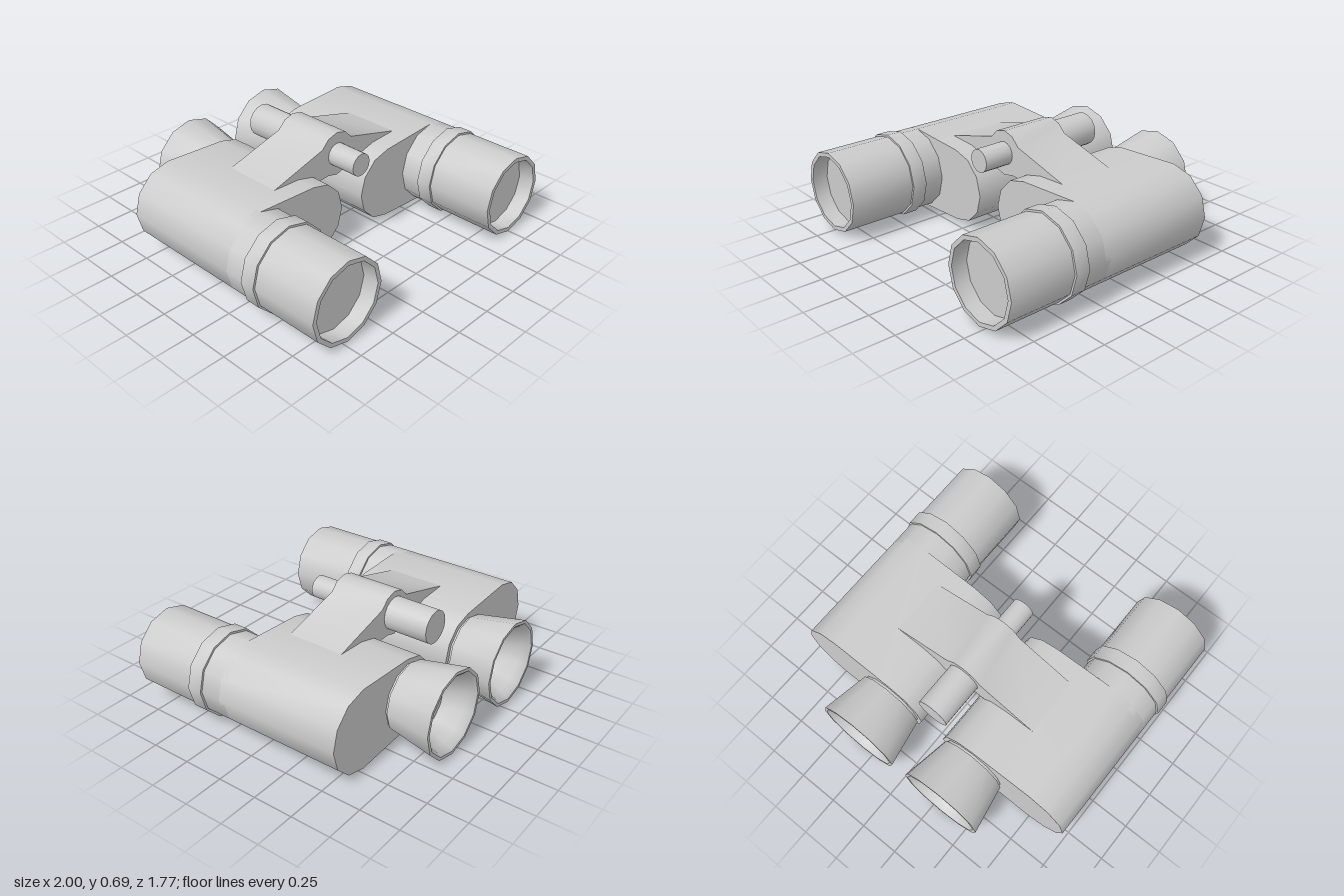
import * as THREE from 'three';
import { toCreasedNormals } from 'three/addons/utils/BufferGeometryUtils.js';

const SIDES = 12, CREASE = 0.7;
const BARREL = { x: 0.73, y: 0.275, r: 0.257 };
const EYE = { x: 0.32, y: 0.275, r: 0.235 };
const HINGE = { x: 0, y: 0.555, r: 0.142 };

export function createModel() {
  const group = new THREE.Group();
  const material = new THREE.MeshStandardMaterial({ color: 0xcccccc });

  const add = (name, geometry, x = 0, y = 0, z = 0) => {
    const mesh = new THREE.Mesh(toCreasedNormals(geometry, CREASE), material);
    mesh.name = name;
    mesh.position.set(x, y, z);
    group.add(mesh);
  };

  // Turned part along z; dir = 1 points forward, -1 backward. Points are [radius, distance].
  const turned = (points, dir, sides = SIDES) =>
    new THREE.LatheGeometry(points.map(p => new THREE.Vector2(...p)), sides).rotateX(dir * Math.PI / 2);

  // Points on a polygonal circle, from step a to step b counter-clockwise
  const arc = (c, a, b) => {
    const pts = [];
    for (let i = a; i <= b; i++) {
      const t = i * 2 * Math.PI / SIDES;
      pts.push(new THREE.Vector2(c.x + c.r * Math.cos(t), c.y + c.r * Math.sin(t)));
    }
    return pts;
  };

  const slab = (pts, z0, z1) =>
    new THREE.ExtrudeGeometry(new THREE.Shape(pts), { depth: z1 - z0, bevelEnabled: false }).translate(0, 0, z0);

  for (const [side, s] of [['left', 1], ['right', -1]]) {
    // Prism housing: hull around the barrel and the eyepiece axis
    const outline = [...arc(BARREL, -3, 3), ...arc(EYE, 3, 9)];
    const pts = s > 0 ? outline : outline.map(p => new THREE.Vector2(-p.x, p.y)).reverse();
    add(side + 'PrismHousing', slab(pts, -0.573, 0.235));

    // Objective tube with recessed lens
    add(side + 'ObjectiveTube', turned([
      [0.257, 0.2], [0.257, 0.885], [0.23, 0.885], [0.23, 0.785], [0, 0.785],
    ], 1), s * BARREL.x, BARREL.y);

    // Raised band around the tube
    add(side + 'ObjectiveBand', turned([
      [0.25, 0.365], [0.27, 0.365], [0.27, 0.46], [0.25, 0.46],
    ], 1), s * BARREL.x, BARREL.y);

    // Flared eyecup with a rounded inner lip and deep-set lens
    add(side + 'Eyecup', turned([
      [0.205, 0.56], [0.205, 0.588], [0.217, 0.588], [0.27, 0.885], [0.25, 0.885],
      [0.232, 0.868], [0.215, 0.83], [0.185, 0.765], [0.165, 0.71], [0, 0.71],
    ], -1), s * EYE.x, EYE.y);
  }

  // Bridge: hinge barrel with a tapering wing on each side
  const V = (x, y) => new THREE.Vector2(x, y);
  add('hingeBridge', slab([
    V(0.35, 0.42), V(0.51, 0.5), V(0.51, 0.52), ...arc(HINGE, 1, 5),
    V(-0.51, 0.52), V(-0.51, 0.5), V(-0.35, 0.42), ...arc(HINGE, 8, 10),
  ], -0.26, 0.11));

  // Front hinge pin and rear focus knob
  add('hingePin', turned([[0.072, 0.1], [0.072, 0.305], [0, 0.305]], 1, 16), 0, HINGE.y);
  add('focusKnob', turned([[0.104, 0.25], [0.104, 0.545], [0, 0.545]], -1, 16), 0, HINGE.y);

  return group;
}
